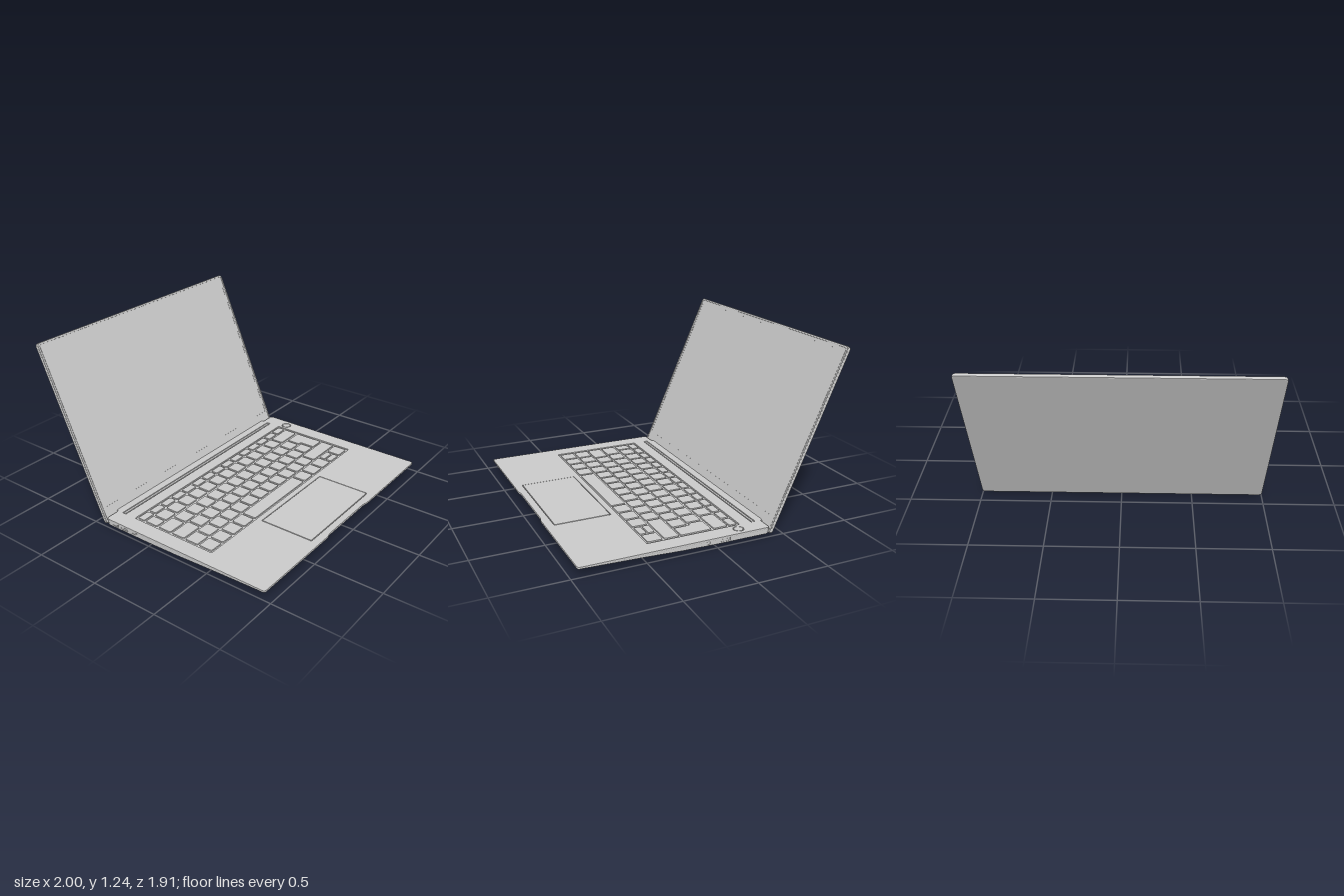
import * as THREE from 'three';
import { toCreasedNormals } from 'three/addons/utils/BufferGeometryUtils.js';
import { RoundedBoxGeometry } from 'three/addons/geometries/RoundedBoxGeometry.js';

const grey = new THREE.MeshStandardMaterial({ color: 0xcccccc });

function add(parent, name, geometry, x = 0, y = 0, z = 0) {
  const mesh = new THREE.Mesh(geometry, grey);
  mesh.name = name;
  mesh.position.set(x, y, z);
  parent.add(mesh);
  return mesh;
}

// Closed outline with rounded corners
function outline(points, r, Type = THREE.Shape) {
  const shape = new Type();
  const pts = points.map(([x, y]) => new THREE.Vector2(x, y));
  pts.forEach((p, i) => {
    const prev = pts[(i + pts.length - 1) % pts.length], next = pts[(i + 1) % pts.length];
    const toward = (q) => p.clone().add(q.clone().sub(p).setLength(Math.min(r, q.distanceTo(p) / 2)));
    const a = toward(prev), b = toward(next);
    if (i === 0) shape.moveTo(a.x, a.y); else shape.lineTo(a.x, a.y);
    shape.quadraticCurveTo(p.x, p.y, b.x, b.y);
  });
  shape.closePath();
  return shape;
}
const rect = (x0, y0, x1, y1, r, Type) => outline([[x0, y0], [x1, y0], [x1, y1], [x0, y1]], r, Type);
const hole = (x0, y0, x1, y1, r) => rect(x0, y0, x1, y1, r, THREE.Path);

// Extrusion between two depths, edges bevelled inward by b
function plate(shape, d0, d1, b = 0) {
  const geo = new THREE.ExtrudeGeometry(shape, {
    depth: d1 - d0 - 2 * b, bevelEnabled: b > 0, bevelSize: b, bevelThickness: b,
    bevelOffset: -b, bevelSegments: 2, curveSegments: 4,
  });
  return geo.translate(0, 0, d0 + b);
}
// Horizontal plate: the outline is given in x and z, the depths are heights
function slab(shape, y0, y1, b) {
  return plate(shape, -y1, -y0, b).rotateX(Math.PI / 2).scale(1, 1, 1);
}

// Wedge-shaped lower case lofted from front-facing cross-sections
function lowerCaseGeometry() {
  const sections = [ // z, half width, side edge height, bottom height
    [-0.39, 0.985, 0.026, 0.022], [-0.37, 0.998, 0.025, 0.021], [0, 0.998, 0.026, 0.022],
    [0.25, 0.998, 0.031, 0.023], [0.5, 0.998, 0.042, 0.026], [0.8, 0.998, 0.052, 0.034],
    [0.9, 0.998, 0.055, 0.043], [0.93, 0.994, 0.056, 0.049], [0.945, 0.98, 0.057, 0.055],
  ];
  const rings = sections.map(([z, w, e, b]) => [
    [w, 0.06, z], [-w, 0.06, z], [-w, e, z], [-w + 0.025, (e * 0.4 + b * 0.6), z], [-w + 0.08, b, z],
    [w - 0.08, b, z], [w - 0.025, (e * 0.4 + b * 0.6), z], [w, e, z],
  ]);
  const pos = [], n = rings[0].length;
  for (let s = 0; s < rings.length - 1; s++) {
    const a = rings[s], b = rings[s + 1];
    for (let i = 0; i < n; i++) {
      const j = (i + 1) % n;
      pos.push(...a[i], ...a[j], ...b[j], ...a[i], ...b[j], ...b[i]);
    }
  }
  const first = rings[0], last = rings[rings.length - 1];
  for (let i = 1; i < n - 1; i++) {
    pos.push(...last[0], ...last[i], ...last[i + 1], ...first[0], ...first[i + 1], ...first[i]);
  }
  const geo = new THREE.BufferGeometry();
  geo.setAttribute('position', new THREE.Float32BufferAttribute(pos, 3));
  return toCreasedNormals(geo, 0.5);
}

function buildKeyboard() {
  const keys = new THREE.Group();
  keys.name = 'keyboard';
  const gap = 0.008, L = -0.87, R = 0.87, pitch = 0.1187;
  const run = (start, n, step = pitch) => Array.from({ length: n + 1 }, (_, i) => start + i * step);
  const key = (x0, z0, x1, z1) =>
    add(keys, 'key', slab(rect(x0 + gap, z0, x1 - gap, z1, 0.012), 0.058, 0.0695, 0.002));
  const rows = [ // z range, key boundaries
    [-0.218, -0.163, run(L, 15, (R - L) / 15)],
    [-0.148, -0.047, [L, ...run(-0.775, 12), R]],
    [-0.029, 0.075, [L, ...run(-0.71, 12)]],
    [0.09, 0.194, [L, ...run(-0.685, 12)]],
    [0.208, 0.312, [L, ...run(-0.74, 11), R]],
    [0.327, 0.432, [L, -0.748, -0.63, -0.51, -0.385, 0.25, 0.375, 0.5, 0.625]],
  ];
  for (const [z0, z1, xs] of rows) {
    for (let i = 0; i < xs.length - 1; i++) key(xs[i], z0, xs[i + 1], z1);
  }
  // Stacked up and down arrows, then the right arrow
  key(0.625, 0.327, 0.748, 0.374);
  key(0.625, 0.385, 0.748, 0.432);
  key(0.748, 0.327, R, 0.432);
  // Stepped enter key
  const enter = outline([[0.722, -0.029], [0.862, -0.029], [0.862, 0.194], [0.75, 0.194], [0.75, 0.075], [0.722, 0.075]], 0.012);
  add(keys, 'enterKey', slab(enter, 0.058, 0.0695, 0.002));
  return keys;
}

function buildBase() {
  const base = new THREE.Group();
  base.name = 'base';
  add(base, 'lowerCase', lowerCaseGeometry());

  // Deck with a finger notch in front and openings for its inserts
  const deck = outline([
    [-1, -0.39], [-0.88, -0.39], [-0.88, -0.408], [0.88, -0.408], [0.88, -0.39], [1, -0.39],
    [1, 0.955], [0.26, 0.955], [0.235, 0.945], [-0.235, 0.945], [-0.26, 0.955], [-1, 0.955],
  ], 0.022);
  const ring = new THREE.Path().absarc(0.935, -0.19, 0.038, 0, Math.PI * 2);
  deck.holes.push(
    hole(-0.88, -0.232, 0.88, 0.447, 0.012), hole(-0.378, 0.488, 0.378, 0.895, 0.01),
    hole(-0.88, -0.35, 0.88, -0.32, 0.004), ring);
  add(base, 'deck', slab(deck, 0.056, 0.07, 0.002));
  add(base, 'touchpad', slab(rect(-0.373, 0.493, 0.373, 0.89, 0.01), 0.058, 0.0705, 0.001));
  add(base, 'powerButton', new THREE.CylinderGeometry(0.031, 0.031, 0.011, 32), 0.935, 0.0635, -0.19);
  add(base, 'speakerBar', new RoundedBoxGeometry(1.75, 0.012, 0.018, 2, 0.003), 0, 0.062, -0.337);
  add(base, 'hingeCover', new RoundedBoxGeometry(1.76, 0.04, 0.04, 2, 0.006), 0, 0.047, -0.389);
  base.add(buildKeyboard());

  // Underside feet and vent
  for (const side of [-1, 1]) {
    add(base, 'frontFoot', new RoundedBoxGeometry(0.23, 0.04, 0.04, 3, 0.015), side * 0.735, 0.02, 0.78);
  }
  add(base, 'rearFoot', new RoundedBoxGeometry(1.66, 0.03, 0.036, 3, 0.012), 0, 0.017, -0.2);
  add(base, 'ventStrip', new RoundedBoxGeometry(1.75, 0.008, 0.022, 2, 0.003), 0, 0.021, -0.315);

  // Side ports: a thin rim around a tongue
  const port = (side, z, w, h) => {
    const rim = rect(-w / 2, -h / 2, w / 2, h / 2, 0.005);
    rim.holes.push(hole(-w / 2 + 0.005, -h / 2 + 0.005, w / 2 - 0.005, h / 2 - 0.005, 0.003));
    add(base, 'portRim', plate(rim, 0, 0.004), side * 0.996, 0.047, z).rotation.y = side * Math.PI / 2;
    add(base, 'portTongue', new THREE.BoxGeometry(0.003, h * 0.25, w * 0.65), side * 0.9975, 0.049, z);
  };
  port(1, -0.055, 0.085, 0.03);
  port(-1, -0.31, 0.06, 0.026);
  port(-1, -0.22, 0.075, 0.028);
  port(-1, -0.13, 0.05, 0.02);
  add(base, 'audioJack', new THREE.TorusGeometry(0.012, 0.002, 8, 24), 0.998, 0.046, 0.065).rotation.y = Math.PI / 2;
  return base;
}

function buildLid() {
  const lid = new THREE.Group();
  lid.name = 'lid';
  const H = 1.332;
  add(lid, 'lidShell', plate(rect(-1, 0, 1, H, 0.025), 0, 0.021, 0.005));
  // Raised rim, recessed glass border and display
  const rim = rect(-0.998, 0.002, 0.998, H - 0.002, 0.025);
  rim.holes.push(hole(-0.985, 0.012, 0.985, H - 0.014, 0.015));
  add(lid, 'lidRim', plate(rim, 0.016, 0.025, 0.002));
  const border = rect(-0.983, 0.014, 0.983, H - 0.016, 0.014);
  border.holes.push(hole(-0.965, 0.11, 0.965, H - 0.036, 0.004));
  add(lid, 'screenBorder', plate(border, 0.02, 0.0235));
  add(lid, 'display', plate(rect(-0.965, 0.11, 0.965, H - 0.036, 0.004), 0.02, 0.0225));
  lid.position.set(0, 0.012, -0.41);
  lid.rotation.x = -0.42;
  return lid;
}

export function createModel() {
  const laptop = new THREE.Group();
  laptop.name = 'laptop';
  laptop.add(buildBase(), buildLid());
  return laptop;
}
